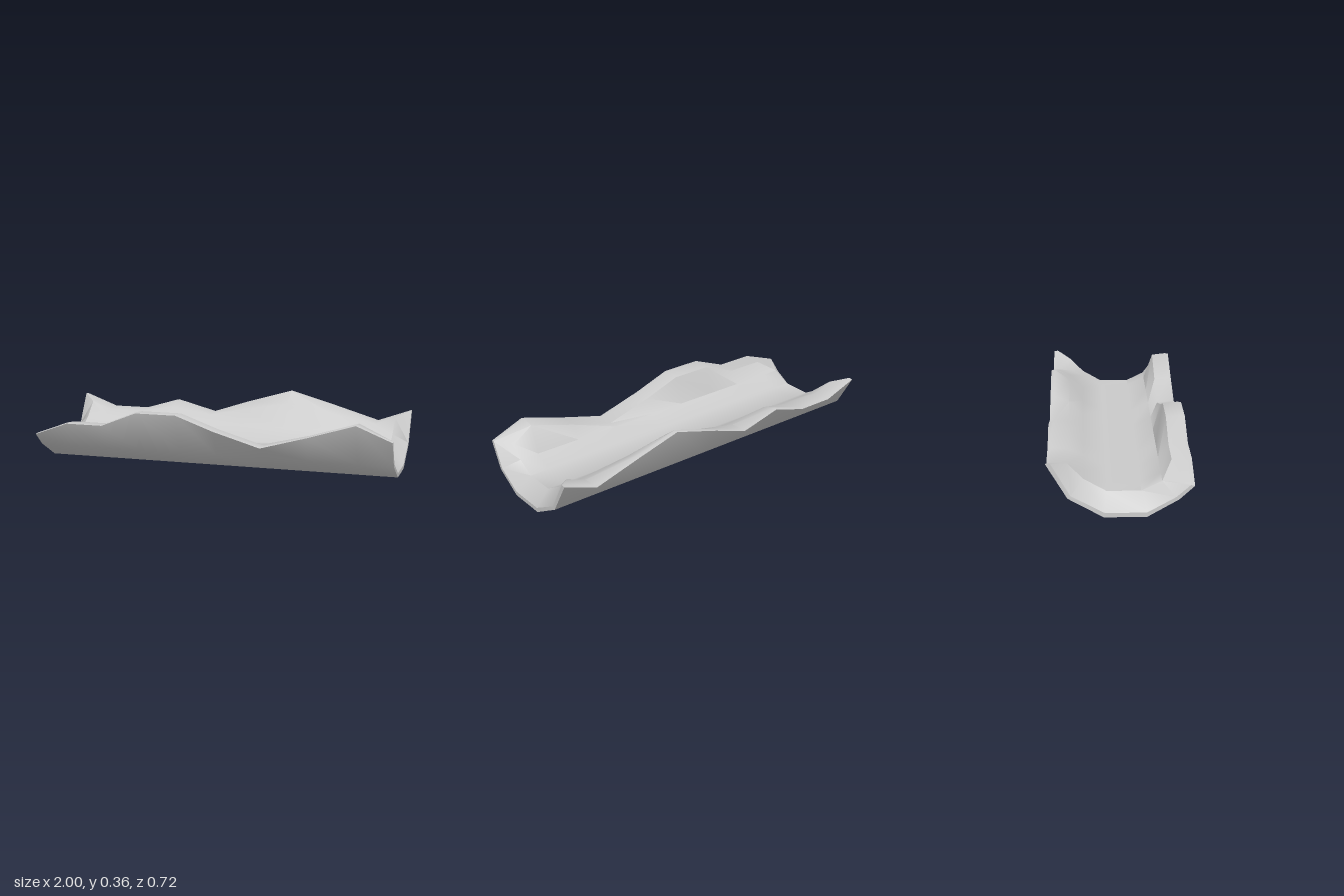
import * as THREE from 'three';
import { toCreasedNormals } from 'three/addons/utils/BufferGeometryUtils.js';

// Stations along the trough: x, height of the front edge, height of the back edge
const stations = [
  [-1, 0.16, 0.28], [-0.81, 0.23, 0.21], [-0.6, 0.23, 0.21], [-0.4, 0.31, 0.27],
  [-0.17, 0.31, 0.21], [0.04, 0.235, 0.28], [0.3, 0.16, 0.357], [0.55, 0.23, 0.287],
  [0.81, 0.31, 0.21], [1, 0.233, 0.28],
];

// Three nested cross-section lines (outer skin, lip, inner skin), each from front to back
function section([x, front, back]) {
  const line = (px, pts) => pts.map(([z, y]) => new THREE.Vector3(px, y, z));
  const inX = THREE.MathUtils.clamp(x, -0.92, 0.92);
  return {
    outer: line(x, [[0.36, front], [0.285, 0.09], [0.13, 0], [-0.08, 0], [-0.255, 0.1], [-0.36, back]]),
    lip: line(x, [[0.34, front + 0.004], [0.27, 0.102], [0.13, 0.023], [-0.075, 0.023], [-0.24, 0.113], [-0.337, back + 0.003]]),
    inner: line(inX, [[0.26, front - 0.005], [0.207, 0.155], [0.105, 0.105], [-0.065, 0.105],
      [-0.178, 0.17], [-0.255, 0.25 + (back - 0.28) * 0.62]]),
  };
}

// Joins neighbouring points of two lines with quads
function bridge(out, p, q, flip) {
  for (let j = 0; j < p.length - 1; j++) {
    const [a, b, c, d] = [p[j], p[j + 1], q[j + 1], q[j]];
    const tris = flip ? [a, c, b, a, d, c] : [a, b, c, a, c, d];
    for (const v of tris) out.push(v.x, v.y, v.z);
  }
}

export function createModel() {
  const group = new THREE.Group();
  group.name = 'brokenTrough';
  const sections = stations.map(section);
  const out = [];

  // Outer skin, back rim, inner skin and front rim as one closed loop per station
  const loop = (s) => [...s.outer, s.lip[5], ...[...s.inner].reverse(), s.lip[0], s.outer[0]];
  for (let i = 0; i < sections.length - 1; i++) {
    bridge(out, loop(sections[i]), loop(sections[i + 1]), false);
  }

  // Ends: a thin flat band, then a bevel running in to the inner skin
  for (const [s, flip] of [[sections[0], true], [sections[sections.length - 1], false]]) {
    bridge(out, s.outer, s.lip, flip);
    bridge(out, s.lip, s.inner, flip);
  }

  const geometry = new THREE.BufferGeometry();
  geometry.setAttribute('position', new THREE.Float32BufferAttribute(out, 3));
  const mesh = new THREE.Mesh(
    toCreasedNormals(geometry, 0.76),
    new THREE.MeshStandardMaterial({ color: 0xcccccc }),
  );
  mesh.name = 'troughShell';
  group.add(mesh);
  return group;
}
